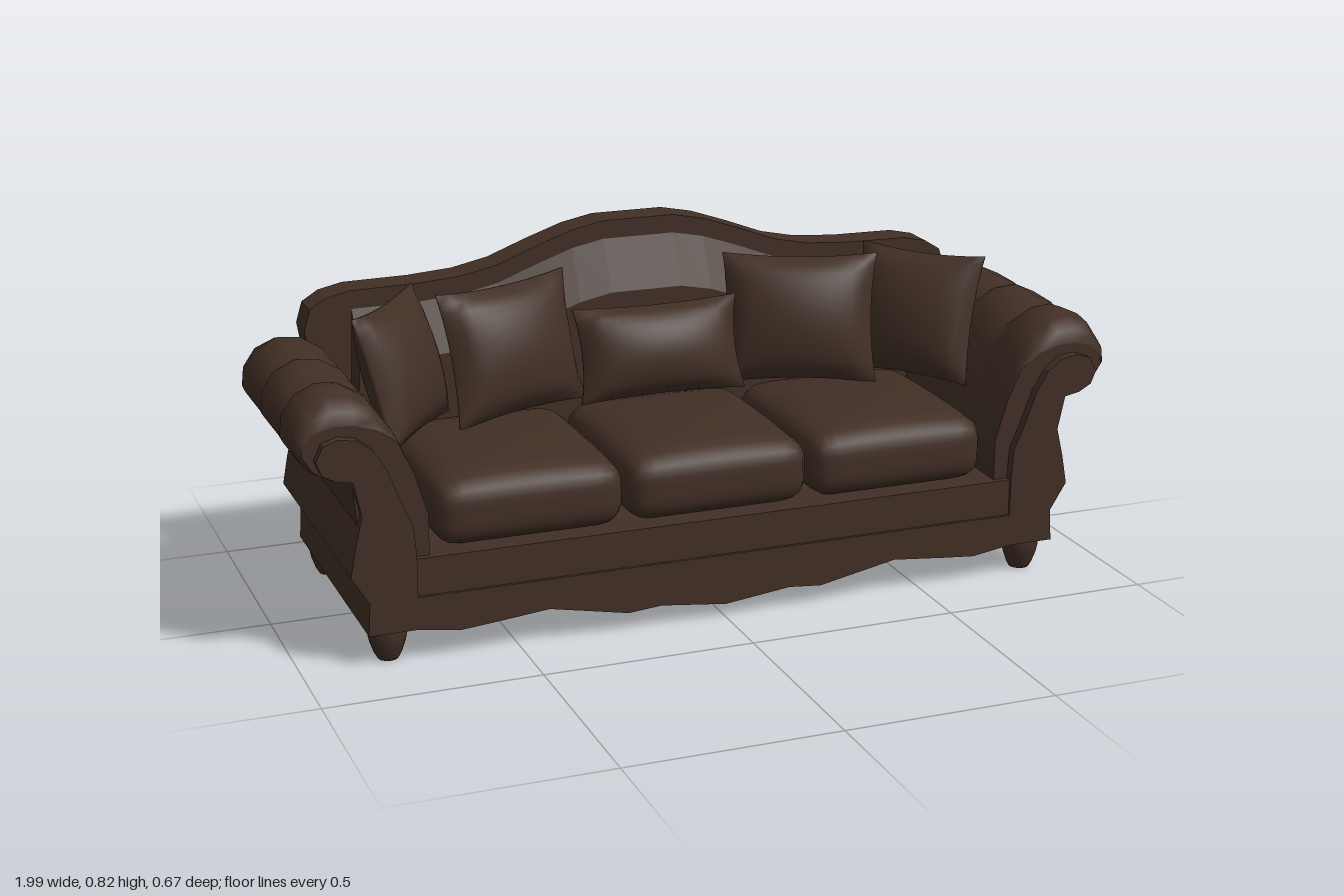
import * as THREE from 'three';
import { mergeVertices } from 'three/addons/utils/BufferGeometryUtils.js';

const leather = new THREE.MeshStandardMaterial({ color: 0x412f25 });
leather.name = 'dark brown leather';

function add(parent, name, geometry) {
  const mesh = new THREE.Mesh(geometry, leather);
  mesh.name = name;
  parent.add(mesh);
  return mesh;
}

// Flat outline in x/y pushed through from z0 to z1
function slab(points, z0, z1) {
  const shape = new THREE.Shape(points.map(([x, y]) => new THREE.Vector2(x, y)));
  const g = new THREE.ExtrudeGeometry(shape, { depth: z1 - z0, bevelEnabled: false });
  return g.translate(0, 0, z0);
}

// Half outline (x >= 0) completed by its mirror image
const mirrored = (half) => [...half, ...half.filter(([x]) => x > 0).reverse().map(([x, y]) => [-x, y])];

function smooth(g) {
  g.deleteAttribute('uv');
  g.deleteAttribute('normal');
  const merged = mergeVertices(g, 1e-5);
  merged.computeVertexNormals();
  return merged;
}

// Rounded seat cushion with a crowned top
function cushionGeometry(w, h, d, r) {
  const g = new THREE.BoxGeometry(w, h, d, 14, 10, 14);
  const p = g.attributes.position;
  const v = new THREE.Vector3(), inner = new THREE.Vector3();
  const lim = new THREE.Vector3(w / 2 - r, h / 2 - r, d / 2 - r);
  const low = lim.clone().negate();
  for (let i = 0; i < p.count; i++) {
    v.fromBufferAttribute(p, i);
    inner.copy(v).clamp(low, lim);
    v.sub(inner).setLength(r).add(inner);
    const crown = (1 - (2 * v.x / w) ** 2) * (1 - (2 * v.z / d) ** 2);
    if (v.y > 0) v.y += 0.025 * crown;
    p.setXYZ(i, v.x, v.y, v.z);
  }
  return smooth(g);
}

// Throw pillow: pointed corners, hollow edges, puffed faces
function pillowGeometry(w, h, t) {
  const g = new THREE.BoxGeometry(2, 2, 2, 14, 14, 1);
  const p = g.attributes.position;
  for (let i = 0; i < p.count; i++) {
    const u = p.getX(i), v = p.getY(i), side = Math.sign(p.getZ(i));
    const puff = Math.pow(Math.max(0, (1 - u * u) * (1 - v * v)), 0.55);
    p.setXYZ(i,
      w * u * (1 - 0.07 * (1 - v * v)),
      h * v * (1 - 0.07 * (1 - u * u)),
      side * (0.004 + t * puff));
  }
  return smooth(g);
}

// Padded arm: one profile carried along z, its roll swelling into three lobes
function armPadGeometry(s) {
  const profile = [
    [0.70, 0.2], [0.70, 0.34], [0.73, 0.44], [0.765, 0.53], [0.81, 0.595], [0.86, 0.625], [0.91, 0.63],
    [0.96, 0.607], [0.99, 0.56], [0.995, 0.51], [0.965, 0.465], [0.92, 0.443], [0.87, 0.443], [0.85, 0.2],
  ];
  if (s > 0) profile.reverse();
  const stations = [ // z, height of the roll's crest
    [0.312, 0.565], [0.305, 0.595], [0.27, 0.62], [0.22, 0.63], [0.17, 0.624], [0.13, 0.594],
    [0.095, 0.625], [0, 0.63], [-0.02, 0.625], [-0.055, 0.606], [-0.095, 0.627], [-0.19, 0.63],
    [-0.235, 0.617], [-0.25, 0.56],
  ];
  const n = profile.length, pos = [], idx = [];
  const ring = ([z, crest]) => {
    const k = (crest - 0.5) / 0.13;
    for (const [x, y] of profile) {
      const px = x > 0.88 ? 0.88 + (x - 0.88) * (0.7 + 0.3 * k) : x;
      pos.push(s * px, y > 0.5 ? 0.5 + (y - 0.5) * k : y, z);
    }
  };
  stations.forEach(ring);
  for (let i = 0; i < stations.length - 1; i++) {
    for (let j = 0; j < n; j++) {
      const a = i * n + j, b = i * n + (j + 1) % n;
      idx.push(a, a + n, b, b, a + n, b + n);
    }
  }
  // End caps with their own corners, so the rims stay sharp
  for (const [end, front] of [[stations[0], true], [stations[stations.length - 1], false]]) {
    const start = pos.length / 3;
    ring(end);
    pos.push(s * 0.85, 0.46, end[0]);
    for (let j = 0; j < n; j++) {
      const a = start + j, b = start + (j + 1) % n;
      idx.push(start + n, front ? a : b, front ? b : a);
    }
  }
  const g = new THREE.BufferGeometry();
  g.setAttribute('position', new THREE.Float32BufferAttribute(pos, 3));
  g.setIndex(idx);
  g.computeVertexNormals();
  return g;
}

export function createModel() {
  const sofa = new THREE.Group();
  sofa.name = 'sofa';

  // Base with scalloped lower edge, and the seat rail above it
  add(sofa, 'scallopedBase', slab(mirrored([
    [0, 0.033], [0.16, 0.052], [0.24, 0.045], [0.43, 0.083], [0.56, 0.07], [0.64, 0.063], [0.74, 0.078],
    [0.85, 0.078], [0.845, 0.155],
  ]), -0.335, 0.335));
  add(sofa, 'seatRail', new THREE.BoxGeometry(1.47, 0.09, 0.655)).position.set(0, 0.198, 0);

  // Camel back
  const crest = [
    [0, 0.822], [0.09, 0.822], [0.17, 0.806], [0.26, 0.775], [0.36, 0.737], [0.45, 0.718], [0.56, 0.71],
    [0.72, 0.708], [0.78, 0.695],
  ];
  add(sofa, 'backPanel', slab(mirrored([
    [0, 0.15], [0.84, 0.15], [0.85, 0.45], [0.8, 0.5], [0.825, 0.56], [0.835, 0.62], [0.82, 0.67],
    ...crest.slice().reverse(),
  ]), -0.335, -0.25));

  // Sloping padding on the front of the back
  const padding = slab(mirrored([
    [0, 0.2], [0.74, 0.2], ...crest.slice(0, 8).reverse().map(([x, y]) => [x, y - 0.035]),
  ]), -0.255, -0.19);
  const pp = padding.attributes.position;
  for (let i = 0; i < pp.count; i++) {
    if (pp.getZ(i) > -0.2 && pp.getY(i) > 0.3) pp.setY(i, pp.getY(i) - 0.13);
  }
  padding.computeVertexNormals();
  add(sofa, 'backPadding', padding);

  // Arms
  for (const s of [1, -1]) {
    const arm = new THREE.Group();
    arm.name = s > 0 ? 'leftArm' : 'rightArm';
    sofa.add(arm);
    const outer = [[0.845, 0.155], [0.885, 0.22], [0.872, 0.29], [0.855, 0.36], [0.872, 0.44]];
    const flip = (pts) => pts.map(([x, y]) => [s * x, y]);
    add(arm, 'armBody', slab(flip([[0.735, 0.155], ...outer, [0.89, 0.48], [0.8, 0.48], [0.755, 0.36],
      [0.735, 0.25]]), -0.335, 0.31));
    add(arm, 'armFrontScroll', slab(flip([[0.735, 0.155], ...outer, [0.91, 0.448], [0.94, 0.465], [0.952, 0.495],
      [0.935, 0.53], [0.9, 0.542], [0.86, 0.535], [0.825, 0.51], [0.795, 0.46], [0.765, 0.38], [0.74, 0.32],
      [0.735, 0.25]]), 0.31, 0.335));
    add(arm, 'armPad', armPadGeometry(s));
  }

  // Seat cushions
  for (const x of [-0.455, 0, 0.455]) {
    add(sofa, 'seatCushion', cushionGeometry(0.447, 0.155, 0.5, 0.055)).position.set(x, 0.32, 0.06);
  }

  // Throw pillows, turned in toward the middle and leaning back
  const pillow = (name, w, h, t, pos, yaw, tilt) => {
    const m = add(sofa, name, pillowGeometry(w, h, t));
    m.position.set(...pos);
    m.rotation.set(tilt, yaw, 0, 'YXZ');
  };
  pillow('middlePillow', 0.21, 0.115, 0.07, [0, 0.53, -0.105], 0, -0.3);
  for (const s of [1, -1]) {
    pillow('innerPillow', 0.19, 0.16, 0.07, [s * 0.37, 0.57, -0.11], -s * 0.38, -0.25);
    pillow('outerPillow', 0.165, 0.16, 0.065, [s * 0.655, 0.57, -0.05], -s * 0.9, -0.28);
  }

  // Bun feet
  const footProfile = [[0, 0], [0.024, 0], [0.031, 0.012], [0.041, 0.04], [0.045, 0.06], [0.044, 0.085]]
    .map(([r, y]) => new THREE.Vector2(r, y));
  for (const x of [-0.795, 0.795]) {
    for (const z of [-0.28, 0.28]) {
      add(sofa, 'foot', new THREE.LatheGeometry(footProfile, 14)).position.set(x, 0, z);
    }
  }
  return sofa;
}
